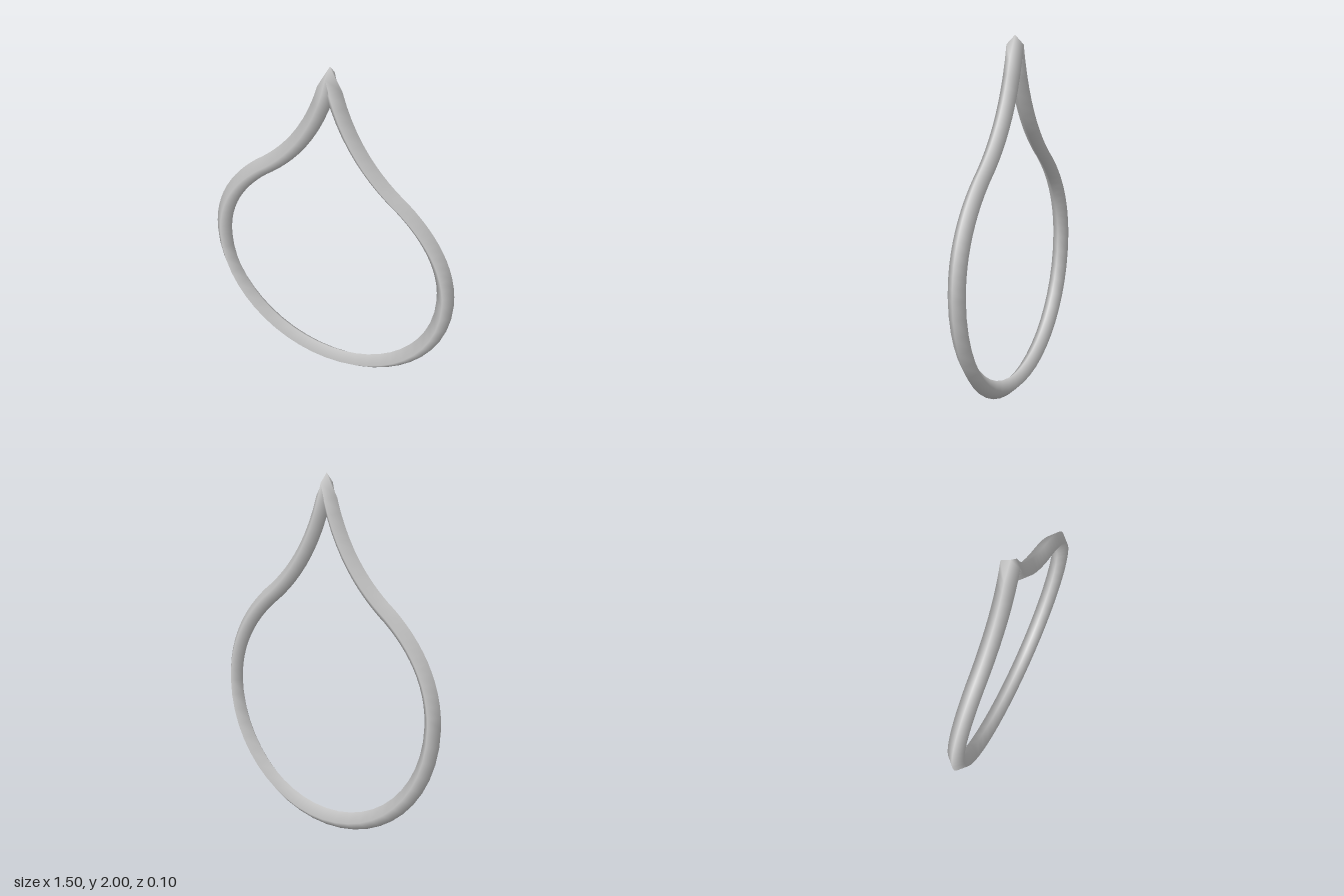
import * as THREE from 'three';

const RADIUS = 0.05;
const STEPS = 12;

// Right half of the centre line, from the bottom up to the tip
function halfPath() {
  const v = (x, y) => new THREE.Vector2(x, y);
  const curves = [
    new THREE.CubicBezierCurve(v(0, 0.05), v(0.387, 0.05), v(0.7, 0.363), v(0.7, 0.75)),
    new THREE.CubicBezierCurve(v(0.7, 0.75), v(0.7, 0.99), v(0.57, 1.165), v(0.42, 1.29)),
    new THREE.CubicBezierCurve(v(0.42, 1.29), v(0.27, 1.4), v(0.08, 1.59), v(0, 1.95)),
  ];
  const samples = [];
  curves.forEach((curve, c) => {
    for (let i = c ? 1 : 0; i <= STEPS; i++) {
      samples.push({ p: curve.getPoint(i / STEPS), t: curve.getTangent(i / STEPS) });
    }
  });
  return samples;
}

// Closed sweep of a four-sided section around the drop outline
function dropGeometry() {
  const half = halfPath();
  half[half.length - 1].t.set(-1, 0); // upright section at the tip
  const mirrored = half.slice(1, -1).reverse().map(({ p, t }) => ({
    p: new THREE.Vector2(-p.x, p.y),
    t: new THREE.Vector2(t.x, -t.y),
  }));
  const rings = [...half, ...mirrored];
  const positions = [];
  const index = [];
  rings.forEach(({ p, t }, i) => {
    const next = (i + 1) % rings.length;
    for (let k = 0; k < 4; k++) {
      const a = (k * Math.PI) / 2;
      const out = RADIUS * Math.cos(a);
      positions.push(p.x + t.y * out, p.y - t.x * out, RADIUS * Math.sin(a));
      const k2 = (k + 1) % 4;
      const [a0, a1, b0, b1] = [i * 4 + k, i * 4 + k2, next * 4 + k, next * 4 + k2];
      index.push(a0, b0, b1, a0, b1, a1);
    }
  });
  const geometry = new THREE.BufferGeometry();
  geometry.setAttribute('position', new THREE.Float32BufferAttribute(positions, 3));
  geometry.setIndex(index);
  geometry.computeVertexNormals();
  return geometry;
}

export function createModel() {
  const model = new THREE.Group();
  model.name = 'dropRing';
  const grey = new THREE.MeshStandardMaterial({ color: 0xcccccc });
  grey.name = 'light grey';
  const ring = new THREE.Mesh(dropGeometry(), grey);
  ring.name = 'dropOutline';
  model.add(ring);
  return model;
}
